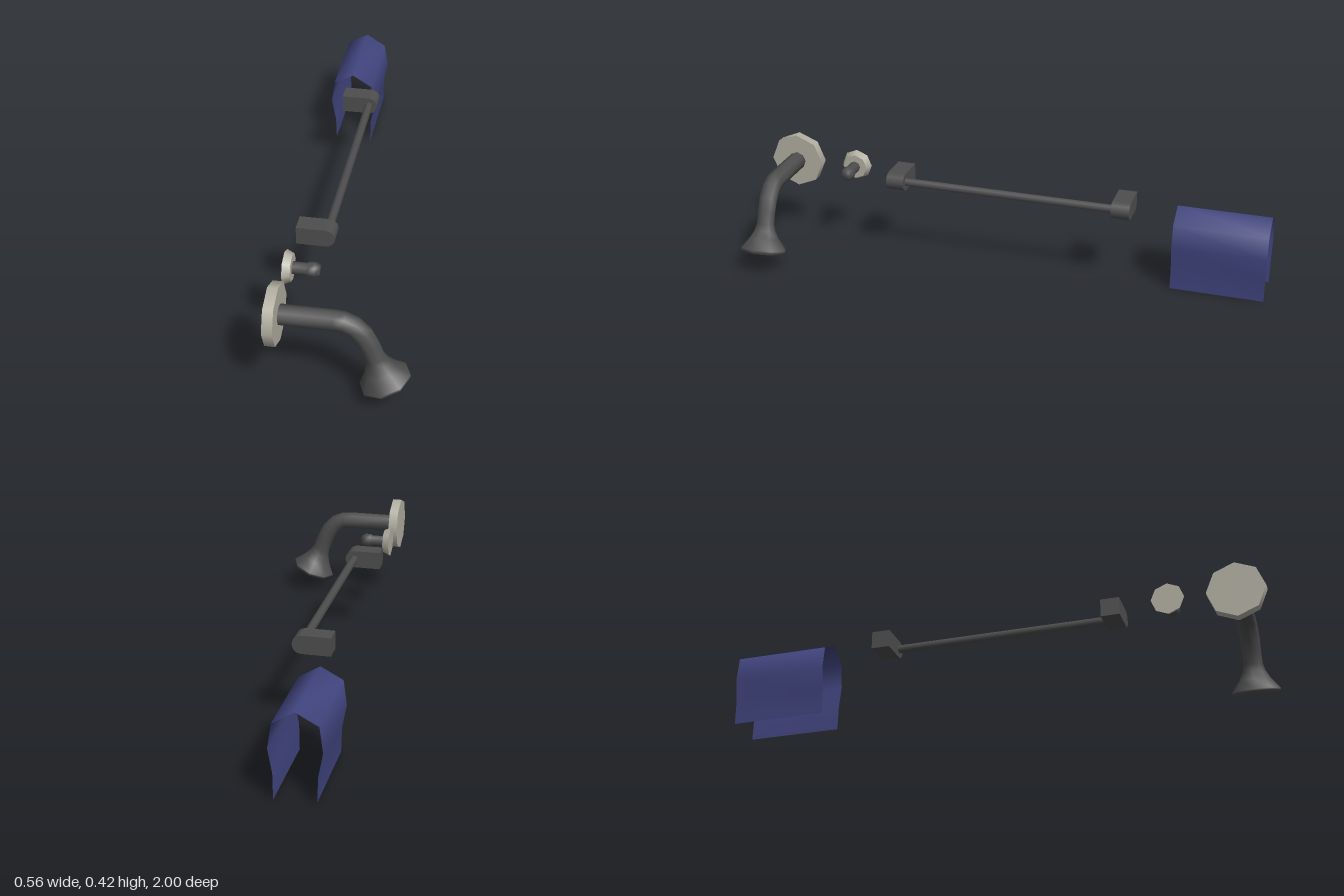
import * as THREE from 'three';

const AXIS_Y = 0.317; // height shared by every fitting
const WALL_X = -0.19; // wall plane the fittings mount on

const metal = new THREE.MeshStandardMaterial({ color: 0x4e4e4e });
metal.name = 'dark metal';
const plate = new THREE.MeshStandardMaterial({ color: 0xb3b0a2 });
plate.name = 'warm grey plate';
const cloth = new THREE.MeshStandardMaterial({ color: 0x41457f, side: THREE.DoubleSide });
cloth.name = 'blue cloth';

function mesh(name, geometry, material, x = 0, y = 0, z = 0) {
  const m = new THREE.Mesh(geometry, material);
  m.name = name;
  m.position.set(x, y, z);
  return m;
}

function group(name, ...children) {
  const g = new THREE.Group();
  g.name = name;
  g.add(...children);
  return g;
}

// Octagonal wall plate lying along x, starting at the wall
function wallPlate(name, rWall, rFront, depth, z) {
  const g = new THREE.CylinderGeometry(rFront, rWall, depth, 8).rotateZ(-Math.PI / 2);
  return mesh(name, g, plate, WALL_X + depth / 2, AXIS_Y, z);
}

// Skin of rings [x, y, radius, heading in degrees] in the xy plane
function sweep(stations, sides = 8) {
  const pos = [], index = [];
  stations.forEach(([x, y, r, deg], i) => {
    const a = THREE.MathUtils.degToRad(deg);
    for (let j = 0; j < sides; j++) {
      const t = (j / sides) * Math.PI * 2;
      const u = r * Math.cos(t);
      pos.push(x - u * Math.sin(a), y + u * Math.cos(a), r * Math.sin(t));
      if (i === stations.length - 1) continue;
      const p = i * sides + j, q = i * sides + ((j + 1) % sides);
      index.push(p, q, p + sides, q, q + sides, p + sides);
    }
  });
  const g = new THREE.BufferGeometry();
  g.setAttribute('position', new THREE.Float32BufferAttribute(pos, 3));
  g.setIndex(index);
  g.computeVertexNormals();
  return g;
}

function createShower() {
  const z = 0.893;
  // Ring of the head, at a distance along its tilted axis
  const headRing = ([s, r]) => [0.16 + 0.34 * s, 0.18 - 0.94 * s, r, -70];
  const arm = [
    [-0.16, AXIS_Y, 0.035, 0], [0.028, AXIS_Y, 0.035, 0],
    [0.058, 0.3145, 0.035, -11], [0.091, 0.3, 0.035, -32],
    [0.123, 0.266, 0.036, -51], [0.145, 0.222, 0.035, -65],
  ];
  const bell = [[0, 0.035], [0.026, 0.042], [0.056, 0.058], [0.097, 0.09], [0.104, 0.0905], [0.112, 0.083]];
  const dish = [[0.112, 0.083], [0.11, 0.06], [0.085, 0.048], [0.083, 0]];
  return group('shower',
    wallPlate('showerPlate', 0.107, 0.107, 0.036, z),
    mesh('showerArmAndHead', sweep([...arm, ...bell.map(headRing)]), metal, 0, 0, z),
    mesh('showerHeadUnderside', sweep(dish.map(headRing)), metal, 0, 0, z));
}

function createHook() {
  const z = 0.648;
  const profile = [[0.022, 0], [0.022, 0.05], [0.027, 0.06], [0.027, 0.08], [0.018, 0.097], [0, 0.097]]
    .map(([r, h]) => new THREE.Vector2(r, h));
  const peg = new THREE.LatheGeometry(profile, 8).rotateZ(-Math.PI / 2);
  return group('robeHook',
    wallPlate('hookPlate', 0.061, 0.049, 0.027, z),
    mesh('hookPeg', peg, metal, -0.165, AXIS_Y, z));
}

function createRail() {
  const rodX = -0.085, r = 0.034, width = 0.07;
  const rail = group('towelRail');
  // Brackets with a rounded nose around the rod
  for (const z of [0.437, -0.454]) {
    const depth = rodX - WALL_X;
    const nose = new THREE.CylinderGeometry(r, r, width, 8, 1, false, 0, Math.PI).rotateX(Math.PI / 2);
    rail.add(group('railBracket',
      mesh('bracketBlock', new THREE.BoxGeometry(depth, 2 * r, width), metal, WALL_X + depth / 2, AXIS_Y, z),
      mesh('bracketNose', nose, metal, rodX, AXIS_Y, z)));
  }
  const rod = new THREE.CylinderGeometry(0.016, 0.016, 0.85, 8).rotateX(Math.PI / 2);
  rail.add(mesh('railRod', rod, metal, rodX, AXIS_Y, -0.009));
  return rail;
}

// Cloth sheet bent over a ridge, hanging down on both sides
function createTowel() {
  const fold = [
    [-0.262, 0.008], [-0.264, 0.097], [-0.28, 0.185], [-0.268, 0.274], [-0.189, 0.316],
    [-0.113, 0.268], [-0.1, 0.18], [-0.116, 0.093], [-0.118, 0],
  ];
  const g = new THREE.PlaneGeometry(1, 1, fold.length - 1, 1);
  const p = g.attributes.position;
  for (let i = 0; i < p.count; i++) {
    const [x, y] = fold[i % fold.length];
    p.setXYZ(i, x, y, i < fold.length ? -1 : -0.645);
  }
  g.computeVertexNormals();
  return mesh('towel', g, cloth);
}

export function createModel() {
  return group('bathroomFittings', createShower(), createHook(), createRail(), createTowel());
}
